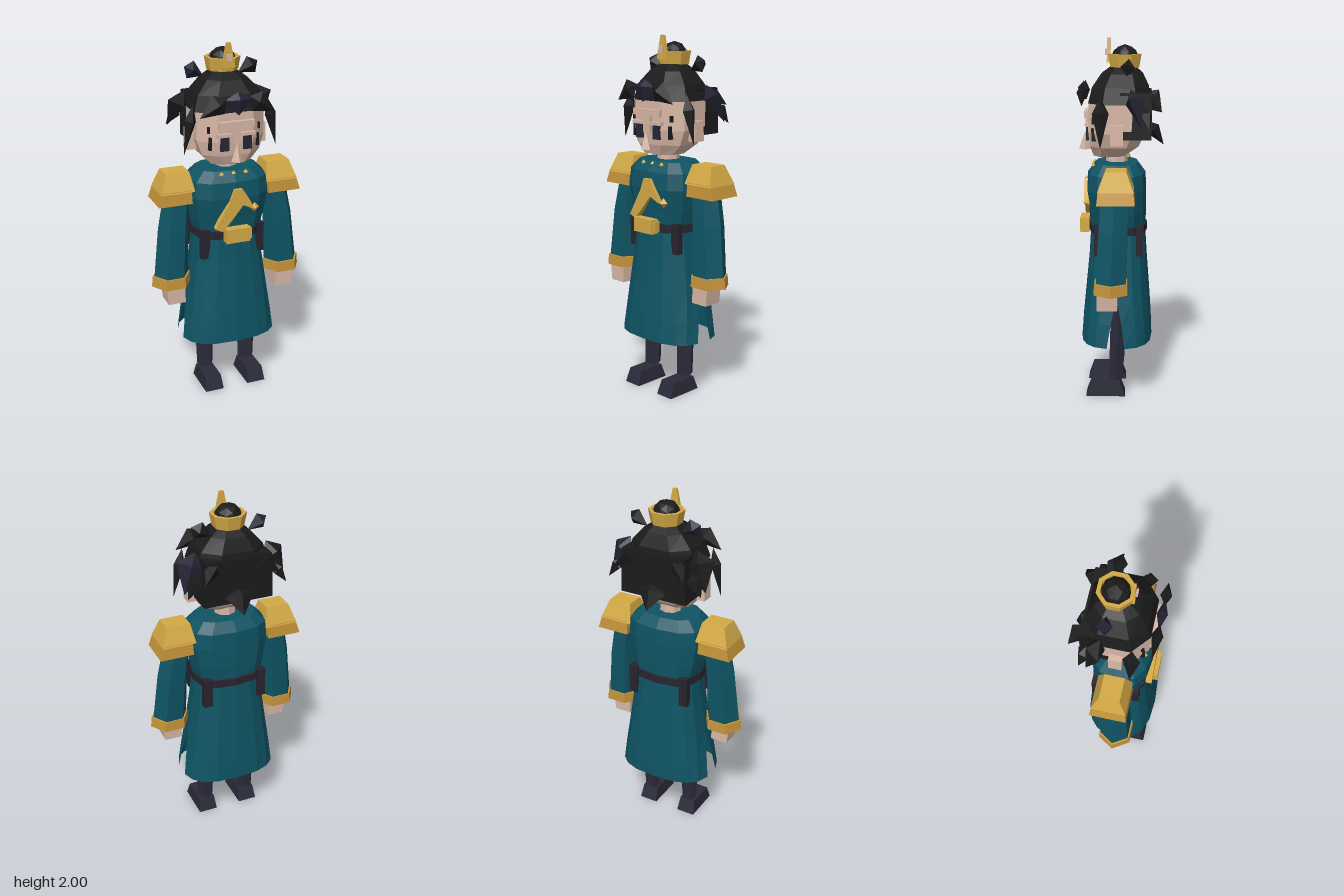
import * as THREE from 'three';

const mat = (name, color) => Object.assign(new THREE.MeshStandardMaterial({ color }), { name });
const teal = mat('teal cloth', 0x0f5464), gold = mat('gold', 0xd4aa46), darkGold = mat('dark gold', 0xc4933a);
const skin = mat('skin', 0xd8b8a6), hair = mat('black hair', 0x1b1b1c), navyHair = mat('navy hair', 0x222233);
const trouser = mat('dark trousers', 0x2b2a3a), leather = mat('dark leather', 0x29242f);
const eyeBlue = mat('eye navy', 0x24263a);
teal.side = THREE.DoubleSide;

// Faceted mesh with hard edges
function part(parent, name, geo, material, x = 0, y = 0, z = 0) {
  const g = geo.index ? geo.toNonIndexed() : geo;
  g.computeVertexNormals();
  const m = new THREE.Mesh(g, material);
  m.name = name;
  m.position.set(x, y, z);
  parent.add(m);
  return m;
}

// Loft through rings [y, half width, front z, back z, centre x], listed bottom to top
function loft(rows, n, { power = 1, from = () => 0, to = () => Math.PI * 2 } = {}) {
  const pos = [], idx = [];
  const bend = v => Math.sign(v) * Math.abs(v) ** power;
  for (const [y, rx, zf, zb, cx = 0] of rows) {
    for (let j = 0; j <= n; j++) {
      const a = from(y) + (to(y) - from(y)) * j / n;
      pos.push(cx + rx * bend(Math.cos(a)), y, (zf + zb) / 2 + (zf - zb) / 2 * bend(Math.sin(a)));
    }
  }
  for (let i = 0; i < rows.length - 1; i++) for (let j = 0; j < n; j++) {
    const a = i * (n + 1) + j, b = a + n + 1;
    idx.push(a + 1, a, b, a + 1, b, b + 1);
  }
  const g = new THREE.BufferGeometry();
  g.setAttribute('position', new THREE.Float32BufferAttribute(pos, 3));
  g.setIndex(idx);
  return g;
}

// Box whose top face is scaled
function taperBox(w, h, d, sx = 1, sz = 1, dx = 0, dz = 0) {
  const g = new THREE.BoxGeometry(w, h, d), p = g.attributes.position;
  for (let i = 0; i < p.count; i++) if (p.getY(i) > 0) {
    p.setX(i, p.getX(i) * sx + dx);
    p.setZ(i, p.getZ(i) * sz + dz);
  }
  return g;
}

// Pointed tuft from root to tip, widest near the root
function tuft(parent, root, tip, w, d, material) {
  const a = new THREE.Vector3(...root), b = new THREE.Vector3(...tip);
  const half = a.distanceTo(b) / 2, g = new THREE.OctahedronGeometry(1, 0);
  const p = g.attributes.position;
  for (let i = 0; i < p.count; i++) if (Math.abs(p.getY(i)) < 0.1) p.setY(i, -0.35);
  g.scale(w, half, d);
  const m = part(parent, 'hairTuft', g, material);
  m.position.copy(a).lerp(b, 0.5);
  m.quaternion.setFromUnitVectors(new THREE.Vector3(0, 1, 0), b.sub(a).normalize());
}

function buildBody(root) {
  part(root, 'coatTorso', loft([
    [0.94, 0.185, 0.165, -0.14], [1.06, 0.215, 0.175, -0.145], [1.18, 0.235, 0.19, -0.145],
    [1.27, 0.225, 0.18, -0.14], [1.325, 0.17, 0.14, -0.1], [1.33, 0.03, 0.05, -0.01]], 12, { power: 0.75 }), teal);

  // Front and back coat panels parting at the sides
  const rows = [[0.32, 0.28, 0.22, -0.18], [0.45, 0.26, 0.21, -0.175], [0.6, 0.235, 0.195, -0.165],
    [0.8, 0.205, 0.175, -0.15], [0.96, 0.185, 0.165, -0.14]];
  const slit = y => Math.max(0, 0.6 - y) * 0.55;
  part(root, 'coatFrontPanel', loft(rows, 8, { power: 0.75, from: slit, to: y => Math.PI - slit(y) }), teal);
  part(root, 'coatBackPanel', loft(rows, 8, { power: 0.75, from: y => Math.PI + slit(y), to: y => 2 * Math.PI - slit(y) }), teal);

  part(root, 'belt', loft([[0.935, 0.18, 0.16, -0.135], [0.94, 0.2, 0.174, -0.15],
    [0.985, 0.2, 0.174, -0.15], [0.99, 0.185, 0.16, -0.135]], 12, { power: 0.75 }), leather);
  part(root, 'buckle', new THREE.BoxGeometry(0.14, 0.08, 0.05), gold, 0, 0.975, 0.198);
  part(root, 'buckleKnob', new THREE.BoxGeometry(0.035, 0.06, 0.04), gold, 0.065, 0.975, 0.193);

  // Chest ornament
  const s = new THREE.Shape([[-0.125, 1.02], [-0.085, 1.0], [-0.03, 1.06], [0.035, 1.14], [0.1, 1.11],
    [0.075, 1.165], [0.03, 1.235], [-0.015, 1.235], [-0.04, 1.17]].map(p => new THREE.Vector2(...p)));
  part(root, 'chestOrnament', new THREE.ExtrudeGeometry(s, { depth: 0.035, bevelEnabled: false }), gold, 0, 0, 0.165);
  part(root, 'chestStud', new THREE.OctahedronGeometry(0.028, 0), gold, 0.112, 1.11, 0.172);
  for (const x of [-0.07, 0, 0.07]) part(root, 'collarStud', new THREE.OctahedronGeometry(0.016, 0), gold, x, 1.31, 0.145);

  for (const k of [-1, 1]) {
    for (const z of [0.12, -0.11]) part(root, 'beltTab', new THREE.BoxGeometry(0.05, 0.17, 0.04), leather, k * 0.16, 0.91, z);
    part(root, 'leg', loft([[0.095, 0.01, 0.03, 0.01, k * 0.13], [0.095, 0.048, 0.068, -0.025, k * 0.13],
      [0.34, 0.056, 0.06, -0.03, k * 0.13], [0.55, 0.055, 0.055, -0.03, k * 0.125],
      [0.85, 0.06, 0.06, -0.04, k * 0.1]], 6), trouser);
    part(root, 'shoe', taperBox(0.11, 0.08, 0.22, 0.85, 0.74), trouser, k * 0.13, 0.04, 0.08);
  }
}

function buildArm(root, k) {
  const arm = new THREE.Group();
  arm.name = k > 0 ? 'leftArm' : 'rightArm';
  root.add(arm);
  part(arm, 'sleeve', loft([[0.69, 0.1, 0.135, -0.05, k * 0.335], [1.0, 0.088, 0.12, -0.06, k * 0.312],
    [1.2, 0.075, 0.1, -0.06, k * 0.285], [1.29, 0.05, 0.05, -0.03, k * 0.27]], 6), teal);
  part(arm, 'cuff', loft([[0.69, 0.08, 0.115, -0.035, k * 0.335], [0.665, 0.113, 0.147, -0.062, k * 0.335],
    [0.725, 0.109, 0.143, -0.058, k * 0.333], [0.727, 0.09, 0.12, -0.04, k * 0.333]], 6), darkGold);
  part(arm, 'hand', taperBox(0.1, 0.13, 0.11, 1.1, 1, k * 0.008), skin, k * 0.325, 0.635, 0.062);
  // Two-tier shoulder pad
  part(arm, 'shoulderPadRim', taperBox(0.19, 0.075, 0.2, 0.87, 0.92, -k * 0.01), darkGold, k * 0.32, 1.192, 0.015);
  part(arm, 'shoulderPadTop', taperBox(0.19, 0.105, 0.19, 0.7, 0.58, -k * 0.008), gold, k * 0.302, 1.272, 0.015);
}

function buildHead(root) {
  const head = new THREE.Group();
  head.name = 'head';
  root.add(head);
  part(head, 'neck', new THREE.CylinderGeometry(0.058, 0.062, 0.14, 8), skin, 0, 1.36, 0.02);
  const oct = { power: 0.75, from: () => Math.PI / 8, to: () => Math.PI * 2.125 };
  part(head, 'face', loft([[1.365, 0.02, 0.09, 0.05], [1.365, 0.12, 0.15, -0.03], [1.42, 0.175, 0.172, -0.11],
    [1.5, 0.205, 0.182, -0.15], [1.66, 0.205, 0.18, -0.155], [1.72, 0.15, 0.13, -0.12]], 8, oct), skin);
  part(head, 'hairCap', loft([[1.655, 0.18, 0.15, -0.15], [1.655, 0.213, 0.182, -0.178], [1.74, 0.185, 0.16, -0.165],
    [1.81, 0.12, 0.11, -0.13], [1.845, 0.07, 0.06, -0.09], [1.85, 0.005, -0.01, -0.02]], 8, oct), hair);
  part(head, 'hairBack', taperBox(0.39, 0.25, 0.17, 0.95, 1), hair, 0, 1.592, -0.087);

  // Facial features
  const nose = new THREE.ConeGeometry(0.035, 0.1, 4);
  part(head, 'nose', nose, skin, 0, 1.445, 0.195);
  part(head, 'brow', new THREE.BoxGeometry(0.2, 0.035, 0.04), skin, 0, 1.595, 0.175);
  part(head, 'noseBridge', new THREE.BoxGeometry(0.05, 0.09, 0.03), skin, 0, 1.535, 0.175);
  for (const k of [-1, 1]) {
    part(head, 'eye', new THREE.BoxGeometry(0.046, 0.075, 0.025), eyeBlue, k * 0.065, 1.49, 0.172);
    part(head, 'eyelid', new THREE.BoxGeometry(0.085, 0.018, 0.04), skin, k * 0.065, 1.538, 0.17);
    part(head, 'eyeCorner', new THREE.BoxGeometry(0.014, 0.07, 0.03), hair, k * 0.135, 1.49, 0.138);
    part(head, 'browMark', new THREE.BoxGeometry(0.01, 0.035, 0.03), hair, k * 0.142, 1.565, 0.135);
    part(head, 'ear', taperBox(0.05, 0.11, 0.07, 0.85, 1), skin, k * 0.203, 1.495, 0.015);

    // Mirrored tufts
    tuft(head, [k * 0.06, 1.745, 0.205], [k * 0.21, 1.65, 0.2], 0.06, 0.03, hair);
    tuft(head, [k * 0.21, 1.7, 0.1], [k * 0.265, 1.43, 0.1], 0.032, 0.045, hair);
    tuft(head, [k * 0.2, 1.74, -0.06], [k * 0.285, 1.54, -0.12], 0.05, 0.08, k > 0 ? navyHair : hair);
    tuft(head, [k * 0.21, 1.64, -0.13], [k * 0.28, 1.53, -0.16], 0.035, 0.045, hair);
    tuft(head, [k * 0.12, 1.7, -0.14], [k * 0.21, 1.62, -0.225], 0.06, 0.045, hair);
    tuft(head, [k * 0.21, 1.87, -0.04], [k * 0.1, 1.81, -0.05], 0.05, 0.04, k > 0 ? hair : navyHair);
  }
  tuft(head, [0, 1.77, 0.2], [0, 1.65, 0.215], 0.085, 0.028, navyHair);
  tuft(head, [0, 1.55, -0.15], [0, 1.42, -0.24], 0.08, 0.04, hair);

  // Top knot with crown
  part(head, 'topKnot', new THREE.IcosahedronGeometry(0.073, 1), hair, 0, 1.893, -0.025);
  const ring = new THREE.LatheGeometry([[0.075, 1.84], [0.085, 1.845], [0.098, 1.915], [0.078, 1.915], [0.075, 1.84]]
    .map(p => new THREE.Vector2(...p)), 8, Math.PI / 8);
  part(head, 'crown', ring, gold, 0, 0, -0.025);
  part(head, 'crownPeak', taperBox(0.075, 0.13, 0.02, 0.3, 0.8), gold, 0, 1.935, 0.063);
  part(head, 'crownGem', new THREE.BoxGeometry(0.028, 0.035, 0.014), skin, 0, 1.925, 0.076);
}

export function createModel() {
  const root = new THREE.Group();
  root.name = 'officerFigure';
  buildBody(root);
  buildArm(root, 1);
  buildArm(root, -1);
  buildHead(root);
  return root;
}
